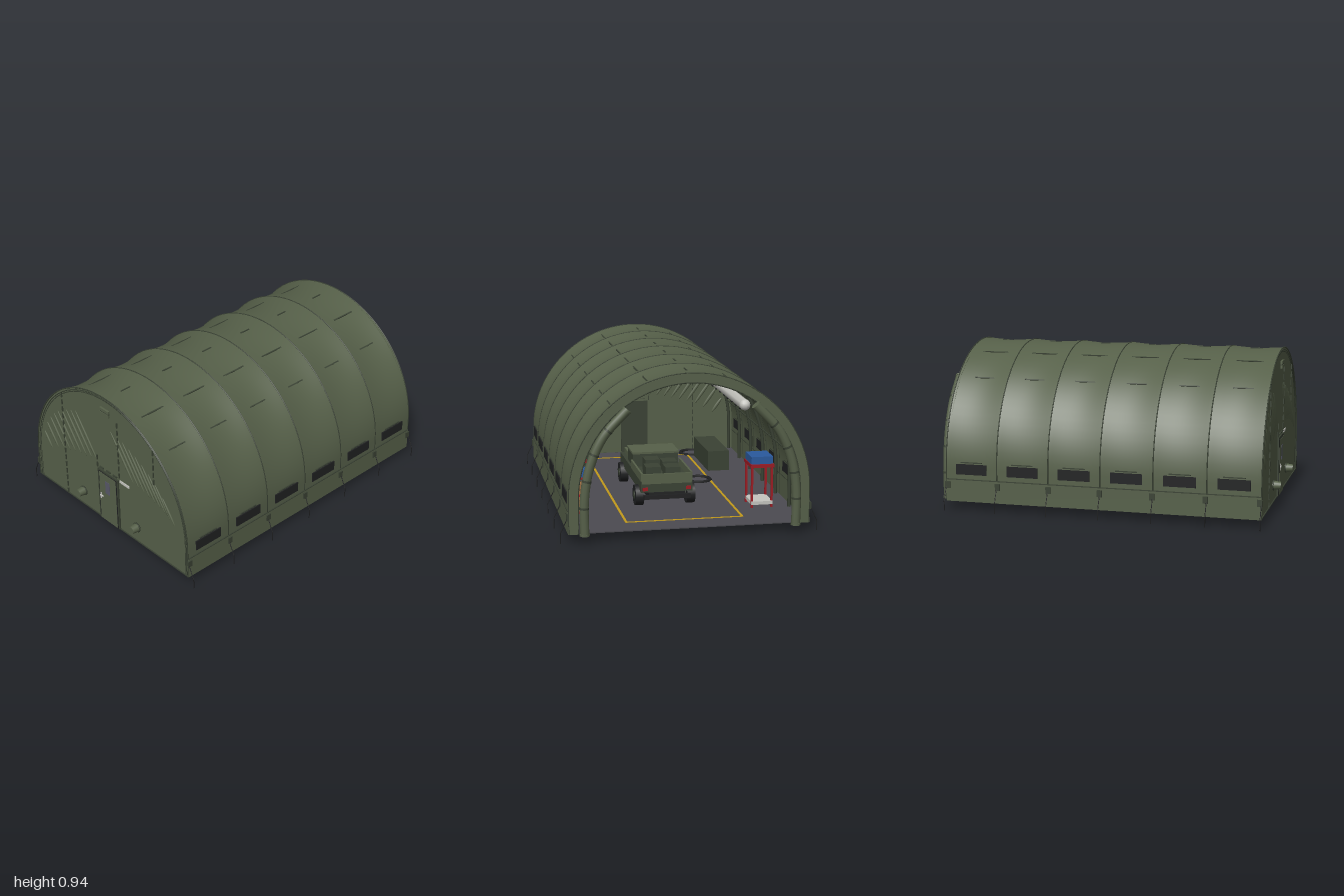
import * as THREE from 'three';

const mat = (name, color, side = THREE.FrontSide) => {
  const m = new THREE.MeshStandardMaterial({ color, side });
  m.name = name;
  return m;
};
const R = 0.69, SPRING = 0.25, BASE = 0.05, HALF = 0.945, BAY = HALF / 3;

// Cross-section of the shelter: straight walls below a semicircle, from +x to -x
function archPoints(r, base = BASE, n = 40) {
  const pts = [new THREE.Vector2(r, base), new THREE.Vector2(r, (base + SPRING) / 2)];
  for (let i = 0; i <= n; i++) {
    const a = Math.PI * i / n;
    pts.push(new THREE.Vector2(r * Math.cos(a), SPRING + r * Math.sin(a)));
  }
  pts.push(new THREE.Vector2(-r, (base + SPRING) / 2), new THREE.Vector2(-r, base));
  return pts;
}
// How far the fabric dips between two ribs at arch angle a
const sag = a => 0.008 * Math.sin(a) + 0.016 * Math.sin(2 * a) ** 2;

function bayGeometry(z0) {
  const pos = [], idx = [], section = archPoints(R), rows = 12, n = section.length;
  for (let j = 0; j <= rows; j++) {
    for (const p of section) {
      const a = Math.atan2(p.y - SPRING, p.x);
      const k = p.y > SPRING ? 1 - sag(a) * Math.sin(Math.PI * j / rows) / R : 1;
      pos.push(p.x * k, SPRING + (p.y - SPRING) * k, z0 + BAY * j / rows);
    }
  }
  for (let j = 0; j < rows; j++) for (let i = 0; i < n - 1; i++) {
    const a = j * n + i, b = a + n;
    idx.push(a, a + 1, b, a + 1, b + 1, b);
  }
  const g = new THREE.BufferGeometry();
  g.setAttribute('position', new THREE.Float32BufferAttribute(pos, 3));
  g.setIndex(idx);
  g.computeVertexNormals();
  return g;
}

export function createModel() {
  const canvas = mat('olive canvas', 0x566049, THREE.DoubleSide);
  const trim = mat('dark olive trim', 0x3a4234);
  const black = mat('black', 0x202122);
  const grey = mat('floor grey', 0x4c4b51);
  const yellow = mat('yellow', 0xc29a1c);
  const brown = mat('cardboard', 0x9a6c42);
  const red = mat('red', 0x9c1a22);
  const blue = mat('blue', 0x2a5a9e);
  const white = mat('off white', 0xc6c6c0);
  const glass = mat('door glass', 0x585868);

  const root = new THREE.Group();
  const group = name => { const g = new THREE.Group(); g.name = name; root.add(g); return g; };
  const add = (parent, name, geo, m, x = 0, y = 0, z = 0) => {
    const o = new THREE.Mesh(geo, m);
    o.name = name;
    o.position.set(x, y, z);
    parent.add(o);
    return o;
  };
  const box = (p, name, m, w, h, d, x, y, z) => add(p, name, new THREE.BoxGeometry(w, h, d), m, x, y, z);
  const rod = (p, name, m, a, b, r) =>
    add(p, name, new THREE.TubeGeometry(new THREE.LineCurve3(new THREE.Vector3(...a), new THREE.Vector3(...b)), 1, r, 6), m);
  const archTube = (p, name, m, r, z, thick) =>
    add(p, name, new THREE.TubeGeometry(new THREE.CatmullRomCurve3(
      archPoints(r).map(q => new THREE.Vector3(q.x, q.y, z))), 64, thick, 6), m);

  // Roof fabric, windows and seam flaps, bay by bay
  const shell = group('shell');
  for (let b = 0; b < 6; b++) {
    const z0 = -HALF + b * BAY, zc = z0 + BAY / 2;
    add(shell, 'fabricBay', bayGeometry(z0), canvas);
    for (const s of [-1, 1]) {
      box(shell, 'sideWindow', black, 0.008, 0.062, 0.19, s * 0.692, 0.246, zc);
      box(shell, 'windowFlap', trim, 0.008, 0.006, 0.13, s * 0.69, 0.287, zc);
    }
    for (const x of [-0.45, -0.235, 0, 0.235, 0.45]) {
      const a = Math.acos(x / R), r = R - sag(a) + 0.001;
      const f = box(shell, 'roofFlap', trim, 0.008, 0.006, x ? 0.165 : 0.07, r * Math.cos(a), SPRING + r * Math.sin(a), zc);
      f.rotation.z = a - Math.PI / 2;
    }
  }

  // Ribs, skirts, guy lines and stakes
  const frame = group('frame');
  for (let i = 0; i <= 6; i++) {
    const z = -HALF + i * BAY;
    archTube(frame, 'ribSeam', trim, R, z, 0.0035);
    archTube(frame, 'innerRib', trim, R - 0.025, z * 0.985, 0.011);
    for (const s of [-1, 1]) {
      box(frame, 'skirtBracket', trim, 0.012, 0.04, 0.03, s * 0.697, 0.15, z * 0.99);
      rod(frame, 'guyLine', black, [s * 0.698, 0.145, z], [s * 0.738, 0.06, z], 0.0025);
      rod(frame, 'stake', black, [s * 0.738, 0.062, z], [s * 0.738, 0, z], 0.003);
    }
  }
  for (const s of [-1, 1]) {
    box(frame, 'skirt', canvas, 0.006, 0.132, 1.89, s * 0.692, 0.117, 0);
    box(frame, 'skirtLip', trim, 0.01, 0.005, 1.89, s * 0.692, 0.184, 0);
    for (const y of [0.4, 0.62]) {
      const x = Math.sqrt(0.665 ** 2 - (y - SPRING) ** 2);
      rod(frame, 'purlin', trim, [s * x, y, -0.92], [s * x, y, 0.92], 0.005);
    }
  }

  // Front wall with its wrinkles and zips
  const front = group('frontWall');
  add(front, 'wallFabric', new THREE.ShapeGeometry(new THREE.Shape(archPoints(R - 0.002))), canvas, 0, 0, 0.94);
  archTube(front, 'wallEdge', trim, R - 0.014, 0.942, 0.003);
  for (let i = 0; i < 9; i++) for (const s of [-1, 1]) {
    const x = s > 0 ? 0.13 + i * 0.05 : -0.58 + i * 0.048;
    const top = Math.sqrt(0.62 ** 2 - x * x), len = Math.min(0.34, top * 0.55);
    const w = add(front, 'wrinkle', new THREE.SphereGeometry(1, 10, 12), canvas, x, SPRING + top * 0.6 - 0.02, 0.94);
    w.scale.set(0.011, len / 2, 0.007);
    w.rotation.z = 0.62;
  }
  for (const [x, y0, y1] of [[-0.41, 0.05, 0.79], [0.1, 0.43, 0.83], [0.41, 0.55, 0.79], [-0.1, 0.41, 0.51]])
    for (let y = y0 + 0.02; y < y1; y += 0.05) box(front, 'zip', trim, 0.007, 0.034, 0.008, x, y, 0.943);
  box(front, 'baseHem', trim, 1.39, 0.006, 0.01, 0, 0.053, 0.941);

  // Door
  const door = group('door');
  box(door, 'doorFrame', trim, 0.185, 0.36, 0.012, -0.002, 0.23, 0.943);
  box(door, 'doorGap', black, 0.162, 0.346, 0.004, -0.002, 0.226, 0.949);
  box(door, 'doorPanel', canvas, 0.15, 0.34, 0.006, -0.002, 0.225, 0.95);
  box(door, 'doorWindow', glass, 0.04, 0.088, 0.004, -0.002, 0.307, 0.953);
  box(door, 'handlePlate', white, 0.01, 0.04, 0.006, -0.066, 0.225, 0.954);
  box(door, 'handle', white, 0.026, 0.007, 0.008, -0.058, 0.228, 0.957);
  box(door, 'sign', white, 0.085, 0.016, 0.005, 0.148, 0.412, 0.944);
  for (const x of [-0.06, 0, 0.06]) box(door, 'doorClip', trim, 0.036, 0.008, 0.008, x, 0.425, 0.944);

  // Vents on the front wall
  const vents = group('vents');
  for (const x of [-0.25, 0.245]) {
    const v = add(vents, 'ventPort', new THREE.CylinderGeometry(0.022, 0.028, 0.05, 20), canvas, x, 0.155, 0.965);
    v.rotation.x = Math.PI / 2;
    const ring = add(vents, 'ventRing', new THREE.TorusGeometry(0.028, 0.004, 6, 20), trim, x, 0.155, 0.945);
    ring.scale.z = 1.2;
  }
  box(vents, 'topVent', trim, 0.075, 0.042, 0.012, -0.002, 0.84, 0.943);
  for (const y of [0.83, 0.856]) box(vents, 'ventHood', canvas, 0.078, 0.018, 0.016, -0.002, y, 0.944);

  // Rear opening: border and rolled curtains
  const rear = group('rearOpening');
  const border = new THREE.Shape([...archPoints(R - 0.002), ...archPoints(0.635).reverse()]);
  add(rear, 'rearBorder', new THREE.ExtrudeGeometry(border, { depth: 0.02, bevelEnabled: false }), canvas, 0, 0, -0.95);
  archTube(rear, 'rearEdge', trim, 0.637, -0.945, 0.006);
  for (const s of [-1, 1]) {
    const path = new THREE.CatmullRomCurve3([[0.605, 0.052], [0.605, 0.25], [0.575, 0.43], [0.5, 0.6], [0.365, 0.75]]
      .map(([x, y]) => new THREE.Vector3(s * x, y, -0.972)));
    add(rear, 'rolledCurtain', new THREE.TubeGeometry(path, 40, 0.026, 10), canvas);
    for (const [i, t] of [0.001, 0.2, 0.4, 0.6, 0.8, 0.999].entries()) {
      const p = path.getPointAt(t), d = path.getTangentAt(t);
      const c = add(rear, 'curtainStrap', new THREE.CylinderGeometry(0.028, 0.028, 0.012, 12), i % 5 ? trim : canvas, p.x, p.y, p.z);
      c.quaternion.setFromUnitVectors(new THREE.Vector3(0, 1, 0), d);
    }
  }

  // Floor, its markings, and pads showing underneath
  const floor = group('floor');
  box(floor, 'floorSheet', grey, 1.37, 0.006, 1.88, 0, 0.053, 0);
  for (const s of [-1, 1]) {
    box(floor, 'sideLine', yellow, 0.014, 0.003, 1.56, s * 0.34, 0.057, 0);
    box(floor, 'endLine', yellow, 0.69, 0.003, 0.014, 0, 0.057, s * 0.78);
    box(floor, 'benchPad', black, 0.13, 0.003, 0.44, s * 0.41, 0.049, 0.53);
  }
  box(floor, 'cartPad', white, 0.16, 0.003, 0.16, -0.44, 0.049, -0.54);
  add(floor, 'drainCover', new THREE.CylinderGeometry(0.05, 0.05, 0.003, 20), yellow, 0.05, 0.049, 0.25);
  for (const [x, z] of [[-0.38, 0.83], [-0.27, 0.1]])
    add(floor, 'ringPad', new THREE.TorusGeometry(0.075, 0.013, 6, 24), black, x, 0.056, z).rotation.x = Math.PI / 2;

  // Storage rack with boxes
  const rack = group('storageRack');
  for (const x of [0.54, 0.635]) for (const z of [-0.63, -0.4, -0.17])
    box(rack, 'rackPost', trim, 0.01, 0.38, 0.01, x, 0.245, z);
  for (let k = 0; k < 4; k++) {
    const y = 0.085 + k * 0.1;
    box(rack, 'rackShelf', red, 0.105, 0.01, 0.47, 0.588, y, -0.4);
    for (let i = 0; i < 5; i++) {
      const h = 0.045 + ((i * 3 + k * 2) % 4) * 0.009;
      box(rack, 'storedBox', (i + k) % 4 === 2 ? blue : brown, 0.08, h, 0.075, 0.585, y + 0.005 + h / 2, -0.58 + i * 0.09);
    }
  }

  // Cabinets, benches, drum and cart
  const stores = group('workshopStores');
  box(stores, 'whiteChest', white, 0.15, 0.11, 0.12, 0.54, 0.111, -0.05);
  box(stores, 'redCabinet', red, 0.13, 0.26, 0.14, 0.56, 0.186, 0.12);
  for (const y of [0.12, 0.18, 0.24]) box(stores, 'drawerGap', black, 0.132, 0.004, 0.142, 0.56, y, 0.12);
  for (const s of [-1, 1]) box(stores, 'workbench', trim, 0.14, 0.13, 0.44, s * 0.45, 0.121, 0.53);
  add(stores, 'drum', new THREE.CylinderGeometry(0.05, 0.05, 0.15, 20), blue, 0.383, 0.125, 0.84);
  box(stores, 'cartBase', white, 0.13, 0.02, 0.16, -0.5, 0.085, -0.54);
  for (const x of [-0.56, -0.44]) for (const z of [-0.61, -0.47]) box(stores, 'cartLeg', red, 0.012, 0.25, 0.012, x, 0.181, z);
  box(stores, 'cartTop', red, 0.14, 0.02, 0.17, -0.5, 0.31, -0.54);
  box(stores, 'cartTray', blue, 0.13, 0.045, 0.15, -0.5, 0.342, -0.54);

  // Utility truck facing the door
  const truck = group('truck');
  box(truck, 'chassis', black, 0.22, 0.04, 0.78, 0.05, 0.13, -0.12);
  box(truck, 'lowerBody', trim, 0.31, 0.07, 0.76, 0.05, 0.185, -0.12);
  box(truck, 'hood', canvas, 0.26, 0.035, 0.2, 0.05, 0.235, 0.16);
  box(truck, 'cab', trim, 0.28, 0.08, 0.2, 0.05, 0.26, -0.04);
  box(truck, 'windscreen', glass, 0.24, 0.05, 0.006, 0.05, 0.265, 0.061);
  box(truck, 'cabRoof', canvas, 0.29, 0.012, 0.21, 0.05, 0.304, -0.04);
  box(truck, 'tailgate', canvas, 0.3, 0.06, 0.012, 0.05, 0.23, -0.495);
  for (const s of [-1, 1]) {
    box(truck, 'bedSide', canvas, 0.012, 0.05, 0.36, 0.05 + s * 0.149, 0.24, -0.32);
    box(truck, 'tailLight', red, 0.03, 0.02, 0.006, 0.05 + s * 0.13, 0.17, -0.502);
    for (const z of [-0.41, 0.155]) {
      const w = add(truck, 'wheel', new THREE.CylinderGeometry(0.062, 0.062, 0.05, 20), black, 0.05 + s * 0.155, 0.116, z);
      w.rotation.z = Math.PI / 2;
      const hub = add(truck, 'hub', new THREE.CylinderGeometry(0.025, 0.025, 0.056, 12), trim, 0.05 + s * 0.155, 0.116, z);
      hub.rotation.z = Math.PI / 2;
    }
  }
  box(truck, 'bumper', black, 0.28, 0.025, 0.02, 0.05, 0.125, -0.515);
  for (const [x, z, h] of [[0.12, -0.4, 0.07], [0, -0.38, 0.06], [0.1, -0.26, 0.08], [-0.01, -0.24, 0.06]])
    box(truck, 'cargo', trim, 0.09, h, 0.1, x, 0.22 + h / 2, z);

  // Air duct and ceiling lights
  const ceiling = group('ceiling');
  rod(ceiling, 'airDuct', white, [-0.33, 0.73, -0.85], [-0.33, 0.73, 0.85], 0.032);
  for (const z of [-0.85, 0.85]) add(ceiling, 'ductCap', new THREE.SphereGeometry(0.032, 12, 8), white, -0.33, 0.73, z);
  for (let z = -0.8; z < 0.85; z += 0.1) add(ceiling, 'ductNozzle', new THREE.SphereGeometry(0.008, 8, 6), black, -0.315, 0.703, z);
  for (const z of [-0.64, 0, 0.64]) box(ceiling, 'lightTube', white, 0.025, 0.015, 0.24, 0, 0.875, z);
  return root;
}
